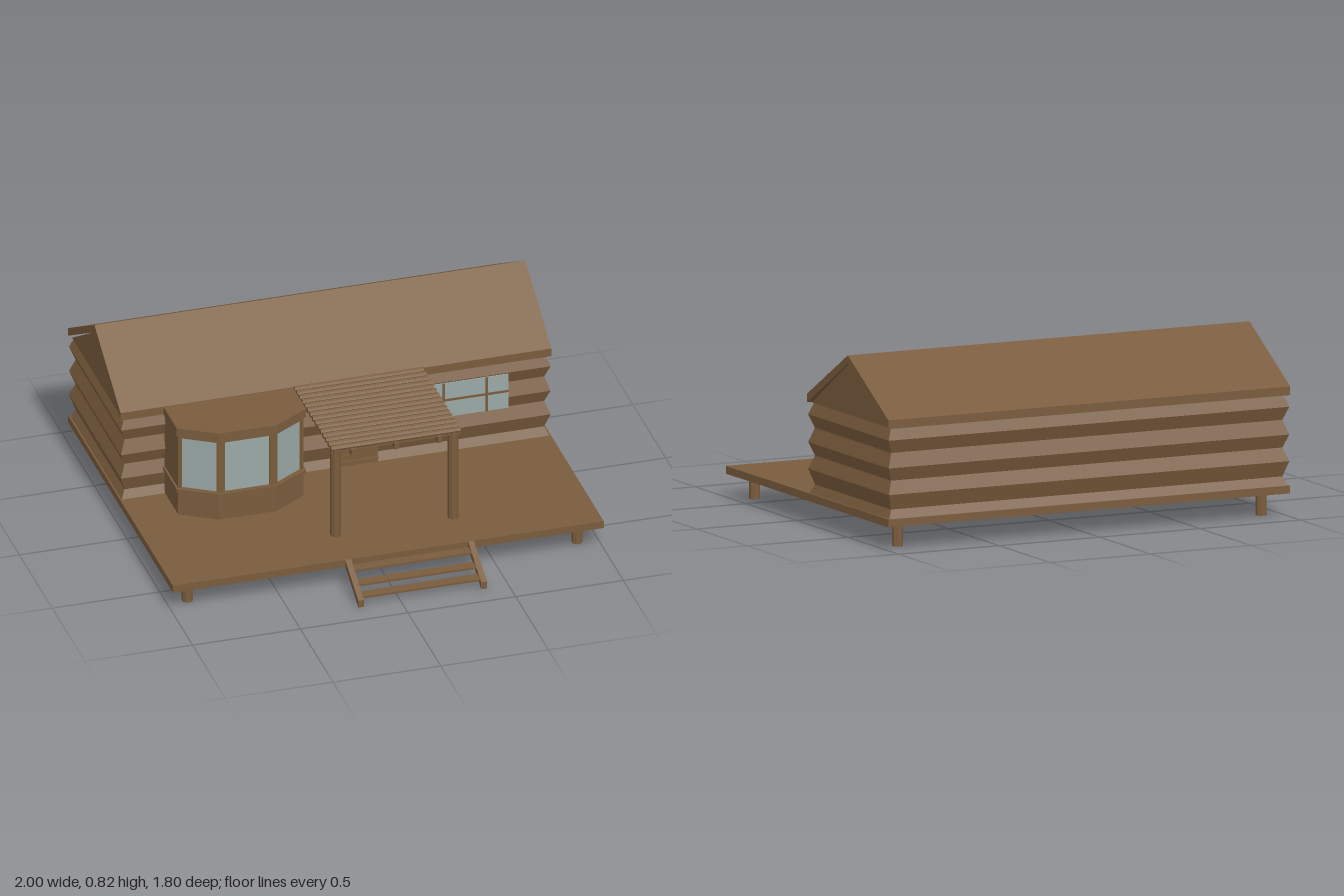
import * as THREE from 'three';

const wood = new THREE.MeshStandardMaterial({ color: 0x7a5c3d, flatShading: true });
wood.name = 'brown wood';
const glass = new THREE.MeshStandardMaterial({ color: 0x9aa8a5 });
glass.name = 'window glass';

function add(parent, name, geometry, material = wood) {
  const mesh = new THREE.Mesh(geometry, material);
  mesh.name = name;
  parent.add(mesh);
  return mesh;
}

// Box given by its minimum and maximum along each axis
function box(parent, name, [x0, x1], [y0, y1], [z0, z1], material) {
  const g = new THREE.BoxGeometry(x1 - x0, y1 - y0, z1 - z0);
  g.translate((x0 + x1) / 2, (y0 + y1) / 2, (z0 + z1) / 2);
  return add(parent, name, g, material);
}

function shapeOf(points) {
  return new THREE.Shape(points.map(([x, y]) => new THREE.Vector2(x, y)));
}

// Side outline of [z, y] points, extruded along x
function sideProfile(parent, name, points, x0, x1) {
  const g = new THREE.ExtrudeGeometry(shapeOf(points), { depth: x1 - x0, bevelEnabled: false });
  g.rotateY(-Math.PI / 2).translate(x1, 0, 0);
  return add(parent, name, g);
}

// Plan outline of [x, z] points, extruded upwards
function planPrism(parent, name, points, y0, y1) {
  const g = new THREE.ExtrudeGeometry(shapeOf(points.map(([x, z]) => [x, -z])), { depth: y1 - y0, bevelEnabled: false });
  g.rotateX(-Math.PI / 2).translate(0, y0, 0);
  return add(parent, name, g);
}

function post(parent, name, x, z, y0, y1, r) {
  const g = new THREE.CylinderGeometry(r, r, y1 - y0, 8);
  g.rotateY(Math.PI / 8).translate(x, (y0 + y1) / 2, z);
  return add(parent, name, g);
}

// Flat bar between two points on a plane facing +z
function bar(parent, name, a, b, width, z, depth) {
  const dx = b[0] - a[0], dy = b[1] - a[1];
  const m = add(parent, name, new THREE.BoxGeometry(Math.hypot(dx, dy), width, depth));
  m.position.set((a[0] + b[0]) / 2, (a[1] + b[1]) / 2, z);
  m.rotation.z = Math.atan2(dy, dx);
  return m;
}

// Log walls: rectangles of alternating inset joined into ridged bands
function logWalls(parent) {
  const levels = [[0.105, 0.012], [0.13, 0.003], [0.18, 0.026], [0.25, 0.003], [0.31, 0.026],
    [0.37, 0.003], [0.435, 0.026], [0.495, 0.003], [0.555, 0.026]];
  const ring = ([y, d]) => [[-1, 1], [1, 1], [1, -1], [-1, -1]].map(([sx, sz]) => [sx * (1 - d), y, -0.5 + sz * (0.4 - d)]);
  const pos = [];
  for (let i = 0; i < levels.length - 1; i++) {
    const lo = ring(levels[i]), hi = ring(levels[i + 1]);
    for (let k = 0; k < 4; k++) {
      const n = (k + 1) % 4;
      pos.push(...lo[k], ...lo[n], ...hi[n], ...lo[k], ...hi[n], ...hi[k]);
    }
  }
  const g = new THREE.BufferGeometry();
  g.setAttribute('position', new THREE.Float32BufferAttribute(pos, 3));
  g.computeVertexNormals();
  add(parent, 'logWalls', g);
}

function bayWindow(parent) {
  const bay = new THREE.Group();
  bay.name = 'bayWindow';
  parent.add(bay);
  const outer = [[-0.8, -0.12], [-0.8, 0.1], [-0.635, 0.2], [-0.365, 0.2], [-0.2, 0.1], [-0.2, -0.12]];
  const inner = outer.map(([x, z]) => [-0.5 + (x + 0.5) * 0.97, z < 0 ? z : z - 0.009]);
  planPrism(bay, 'bayBase', inner, 0.14, 0.258);
  planPrism(bay, 'baySill', outer, 0.258, 0.275);
  planPrism(bay, 'bayRoof', outer, 0.545, 0.585);
  // Upper panels, the three front ones glazed
  for (let i = 0; i < 5; i++) {
    const [a, b] = [inner[i], inner[i + 1]];
    const dx = b[0] - a[0], dz = b[1] - a[1], len = Math.hypot(dx, dz);
    const panel = new THREE.Group();
    panel.name = 'bayPanel';
    panel.position.set(a[0], 0, a[1]);
    panel.rotation.y = -Math.atan2(dz, dx);
    bay.add(panel);
    const s = shapeOf([[0, 0.275], [len, 0.275], [len, 0.545], [0, 0.545]]);
    const m = i === 2 ? 0.027 : 0.012;
    if (i > 0 && i < 4) {
      s.holes.push(new THREE.Path([[m, 0.277], [m, 0.53], [len - m, 0.53], [len - m, 0.277]].map(p => new THREE.Vector2(...p))));
      box(panel, 'bayGlass', [m, len - m], [0.275, 0.53], [-0.016, -0.01], glass);
    }
    const g = new THREE.ExtrudeGeometry(s, { depth: 0.018, bevelEnabled: false });
    add(panel, 'bayFrame', g.translate(0, 0, -0.018));
  }
}

function door(parent) {
  const d = new THREE.Group();
  d.name = 'door';
  parent.add(d);
  box(d, 'doorPanel', [0, 0.195], [0.145, 0.525], [-0.125, -0.099]);
  for (const y of [0.165, 0.3, 0.385, 0.515]) bar(d, 'doorRail', [0, y], [0.195, y], 0.014, -0.096, 0.012);
  bar(d, 'doorBrace', [0.008, 0.505], [0.187, 0.395], 0.012, -0.096, 0.01);
  bar(d, 'doorBrace', [0.008, 0.175], [0.187, 0.29], 0.012, -0.096, 0.01);
  // Bowed handle
  const grip = new THREE.QuadraticBezierCurve3(new THREE.Vector3(0.18, 0.305, -0.1),
    new THREE.Vector3(0.18, 0.345, -0.07), new THREE.Vector3(0.18, 0.385, -0.1));
  add(d, 'doorHandle', new THREE.TubeGeometry(grip, 8, 0.004, 6));
}

function sideWindow(parent) {
  const w = new THREE.Group();
  w.name = 'frontWindow';
  parent.add(w);
  box(w, 'windowGlass', [0.395, 0.8], [0.318, 0.49], [-0.125, -0.1], glass);
  for (const x of [0.5, 0.7]) box(w, 'windowMullion', [x - 0.005, x + 0.005], [0.318, 0.49], [-0.12, -0.096]);
  box(w, 'windowCrossbar', [0.395, 0.8], [0.4, 0.41], [-0.12, -0.096]);
}

function pergola(parent) {
  const p = new THREE.Group();
  p.name = 'pergola';
  parent.add(p);
  for (const x of [-0.175, 0.37]) post(p, 'pergolaPost', x, 0.47, 0.14, 0.58, 0.024);
  for (const x of [-0.1, 0.1, 0.3]) box(p, 'pergolaRafter', [x - 0.01, x + 0.01], [0.547, 0.58], [-0.11, 0.5]);
  // Round slats across the rafters
  for (let i = 0; i < 15; i++) {
    const g = new THREE.CylinderGeometry(0.013, 0.013, 0.6, 8);
    g.rotateZ(Math.PI / 2).translate(0.1, 0.588, -0.082 + i * 0.04);
    add(p, 'pergolaSlat', g);
  }
  box(p, 'pergolaHeader', [-0.2, 0.4], [0.568, 0.588], [0.465, 0.485]);
}

function steps(parent) {
  const s = new THREE.Group();
  s.name = 'steps';
  parent.add(s);
  for (const x of [-0.2, 0.37]) {
    sideProfile(s, 'stringer', [[0.7, 0.105], [0.9, 0.005], [0.9, 0.04], [0.7, 0.14]], x, x + 0.027);
  }
  for (const [z, y] of [[0.728, 0.108], [0.8, 0.073], [0.86, 0.044]]) {
    box(s, 'tread', [-0.18, 0.38], [y - 0.005, y + 0.005], [z - 0.025, z + 0.025]);
  }
}

export function createModel() {
  const cabin = new THREE.Group();
  cabin.name = 'cabin';

  box(cabin, 'deck', [-1, 1], [0.105, 0.14], [-0.9, 0.7]);
  for (const x of [-0.905, 0.905]) {
    for (const z of [-0.8, 0.605]) post(cabin, 'foot', x, z, 0, 0.11, 0.025);
  }

  logWalls(cabin);
  sideProfile(cabin, 'gables', [[-0.126, 0.55], [-0.5, 0.785], [-0.874, 0.55]], -0.99, 0.99);
  sideProfile(cabin, 'roof', [[-0.1, 0.548], [-0.1, 0.587], [-0.5, 0.82], [-0.9, 0.587], [-0.9, 0.548], [-0.5, 0.783]], -1, 1);

  bayWindow(cabin);
  door(cabin);
  sideWindow(cabin);
  pergola(cabin);
  steps(cabin);
  return cabin;
}
